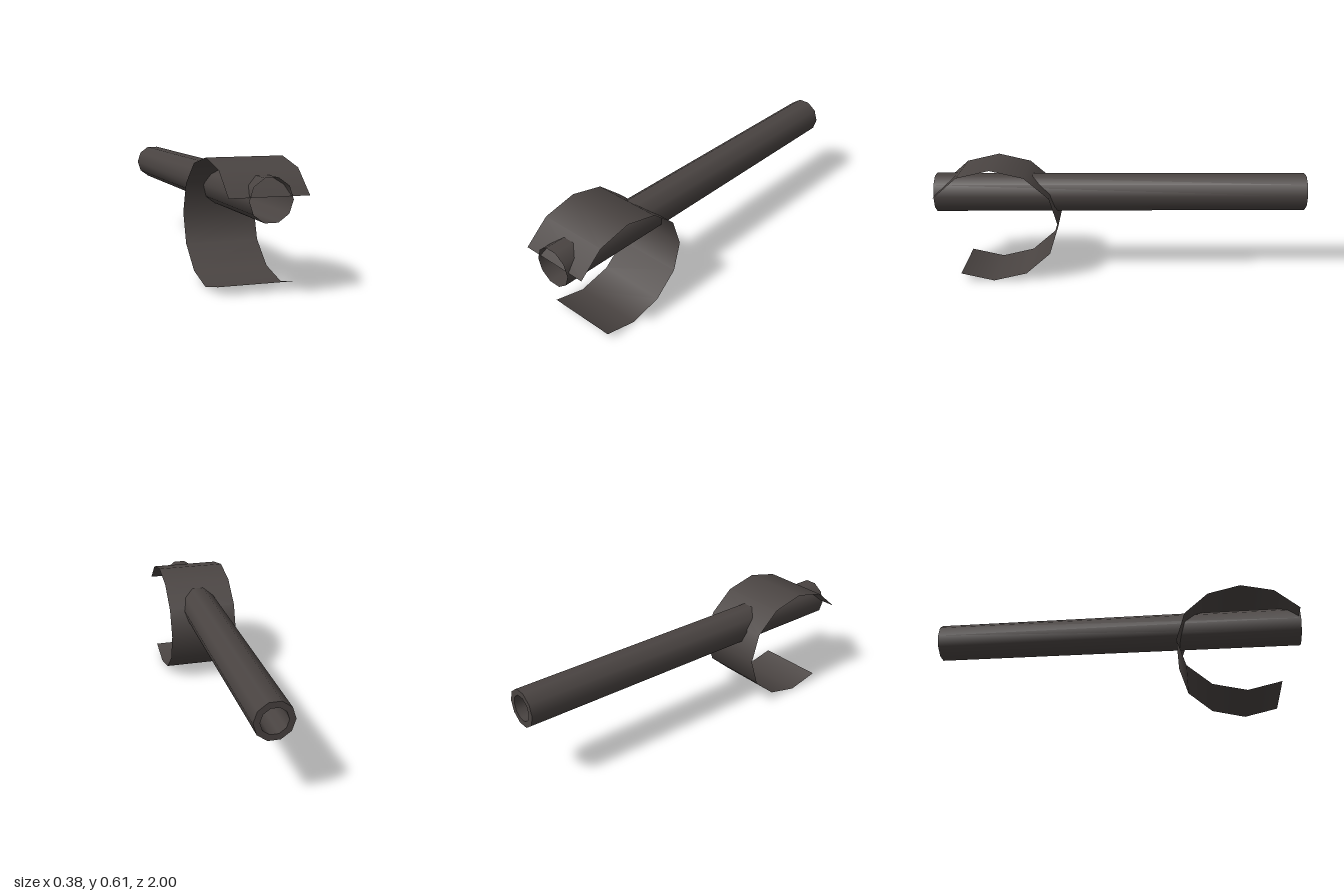
import * as THREE from 'three';

export function createModel() {
  const model = new THREE.Group();
  const darkMetal = new THREE.MeshStandardMaterial({ color: 0x4a4442, side: THREE.DoubleSide });

  const add = (name, geometry, x, y, z) => {
    const mesh = new THREE.Mesh(geometry, darkMetal);
    mesh.name = name;
    mesh.position.set(x, y, z);
    model.add(mesh);
  };

  // Ten-sided open tube along z, with corners on the horizontal axis
  const tube = (frontRadius, backRadius, length) =>
    new THREE.CylinderGeometry(frontRadius, backRadius, length, 10, 1, true, Math.PI / 2)
      .rotateX(Math.PI / 2);

  const sides = 10, cx = 0.004, cy = 0.447;
  const outer = 0.1, bore = 0.068, boreDepth = 0.35;

  // Long handle: open at the front, rimmed bore at the back
  add('handle', tube(0.104, outer, 2), cx, cy, 0);
  add('handleRim', new THREE.RingGeometry(bore, outer, sides).rotateY(Math.PI), cx, cy, -1);
  add('handleBore', tube(bore, bore, boreDepth), cx, cy, -1 + boreDepth / 2);
  add('boreEnd', new THREE.CircleGeometry(bore, sides).rotateY(Math.PI), cx, cy, -1 + boreDepth);

  // Thin curved band, three quarters of an oval, open towards the lower front
  const band = new THREE.CylinderGeometry(1, 1, 0.384, 9, 1, true, Math.PI / 6, Math.PI * 1.5)
    .rotateZ(Math.PI / 2)
    .scale(1, 0.305, 0.352);
  add('curvedBand', band, 0, 0.308, 0.684);

  return model;
}
